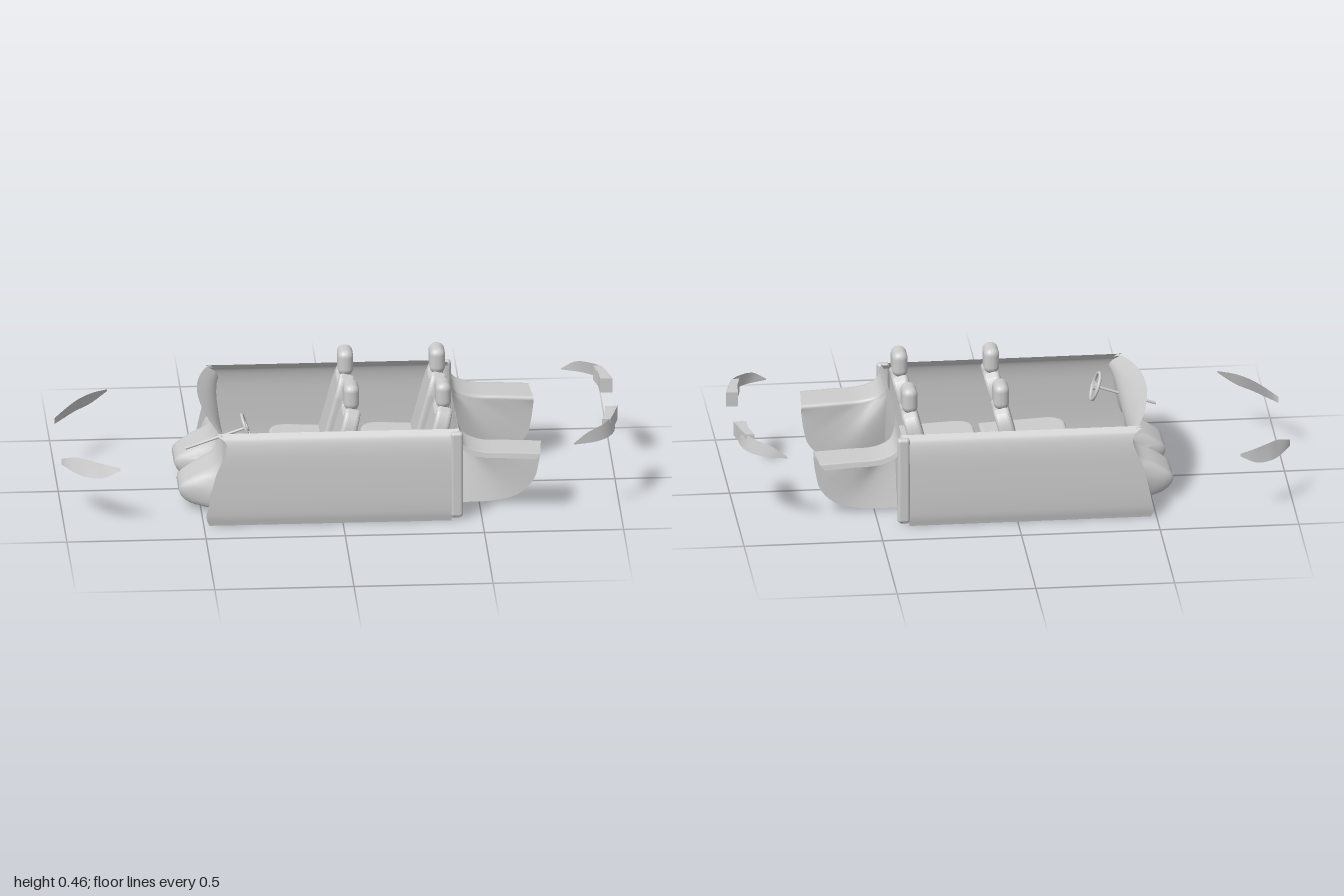
import * as THREE from 'three';
import { RoundedBoxGeometry } from 'three/addons/geometries/RoundedBoxGeometry.js';

const grey = new THREE.MeshStandardMaterial({ color: 0xcccccc, side: THREE.DoubleSide });
const V = (x, y, z = 0) => new THREE.Vector3(x, y, z);
const spline = (...p) => new THREE.CatmullRomCurve3(p.map(q => V(...q)), false, 'centripetal');
const smooth = (a, b, x) => THREE.MathUtils.smoothstep(x, a, b);

// Open smooth surface from a rule (u, v) -> [x, y, z]
function sheet(rule, nu, nv) {
  const pos = [], idx = [];
  for (let i = 0; i <= nu; i++) for (let j = 0; j <= nv; j++) {
    pos.push(...rule(i / nu, j / nv));
    if (i < nu && j < nv) {
      const a = i * (nv + 1) + j, b = a + nv + 1;
      idx.push(a, b, a + 1, b, b + 1, a + 1);
    }
  }
  const g = new THREE.BufferGeometry();
  g.setAttribute('position', new THREE.Float32BufferAttribute(pos, 3));
  g.setIndex(idx);
  g.computeVertexNormals();
  return g;
}

function add(parent, name, geo, x = 0, y = 0, z = 0) {
  const m = new THREE.Mesh(geo, grey);
  m.name = name;
  m.position.set(x, y, z);
  parent.add(m);
  return m;
}

// Cowl, firewall, footwells, floor and rear wall in one sweep across z
function tub() {
  const prof = spline([-.5, .365], [-.455, .325], [-.425, .28], [-.42, .24], [-.45, .17], [-.53, .125],
    [-.58, .08], [-.555, .035], [-.48, .012], [-.3, .008], [0, .008], [.3, .008], [.385, .015], [.415, .045],
    [.42, .12], [.42, .23], [.415, .335]);
  return sheet((u, v) => {
    const p = prof.getPointAt(v), z = (u * 2 - 1) * .355, a = Math.abs(z), w = (z / .355) ** 2;
    const foot = .3 + .7 * smooth(.0, .07, a) * (1 - smooth(.2, .26, a));
    if (p.x < -.42 && p.y < .24) p.x = -.42 + (p.x + .42) * foot;
    if (p.x < -.35 && p.y > .24) {
      const k = smooth(.24, .36, p.y);
      p.x += .065 * w * k;
      p.y -= .03 * w * k;
    }
    // centre tunnel fading towards the rear
    if (p.y < .1 && p.x < .3) p.y += .03 * (1 - smooth(0, .05, a)) * (1 - smooth(-.45, .25, p.x));
    return [p.x, p.y, z];
  }, 64, 90);
}

// Side panel with a curved front edge and a tucked-in top
function sidePanel(rear, offset) {
  const front = spline([-.48, 0], [-.49, .05], [-.465, .12], [-.43, .18], [-.415, .25], [-.43, .3], [-.45, .335]);
  const section = spline([0, 0, .372], [0, .04, .38], [0, .2, .379], [0, .28, .373], [0, .32, .362], [0, .335, .35]);
  return sheet((u, v) => {
    const f = front.getPoint(v), s = section.getPoint(v);
    return [f.x + (rear - f.x) * u, s.y, s.z - offset];
  }, 12, 24);
}

// Rear wheel housing: upright inner wall with a shelf folded outward
function wheelHousing() {
  const top = spline([.418, .335, .13], [.425, .3, .16], [.445, .272, .195], [.5, .252, .21], [.6, .246, .21], [.72, .24, .21]);
  const low = spline([.418, .008], [.55, .012], [.64, .035], [.695, .09], [.712, .15], [.72, .21]);
  return sheet((u, v) => {
    const t = top.getPoint(u), b = low.getPoint(u), c = v * 6;
    if (c <= 1) return [t.x - .025 * u ** 6 * (1 - c * .6), t.y - .02 * (1 - c), .352 - .004 * c];
    if (c <= 3) {
      const k = (c - 1) / 2;
      return [t.x - .01 * u ** 6 * (1 - k), t.y, .348 + (t.z + .012 - .348) * k];
    }
    if (c <= 4) {
      const a = (c - 3) * Math.PI / 2;
      return [t.x, t.y - .012 * (1 - Math.cos(a)), t.z + .012 * (1 - Math.sin(a))];
    }
    const k = (c - 4) / 2, y0 = t.y - .012;
    return [t.x + (b.x - t.x) * k, y0 + (b.y - y0) * k, t.z + (.215 - t.z) * k];
  }, 36, 36);
}

function seat(x, z) {
  const g = new THREE.Group();
  g.name = 'seat';
  const bevel = { bevelEnabled: true, bevelThickness: .014, bevelSize: .012, bevelSegments: 4, curveSegments: 10 };
  // cushion outline in plan, rounded at the front
  const plan = new THREE.Shape();
  plan.moveTo(.06, -.088);
  plan.lineTo(-.16, -.088);
  plan.quadraticCurveTo(-.222, -.088, -.225, -.03);
  plan.lineTo(-.225, .03);
  plan.quadraticCurveTo(-.222, .088, -.16, .088);
  plan.lineTo(.06, .088);
  const cushion = new THREE.ExtrudeGeometry(plan, { depth: .09, ...bevel }).rotateX(-Math.PI / 2).rotateZ(-.05);
  add(g, 'cushion', cushion, 0, .025, 0);
  // backrest outline with raised shoulders beside the headrest
  const back = new THREE.Shape();
  back.moveTo(-.085, 0);
  back.lineTo(-.085, .19);
  back.quadraticCurveTo(-.08, .235, -.057, .255);
  back.quadraticCurveTo(-.052, .23, -.045, .23);
  back.lineTo(.045, .23);
  back.quadraticCurveTo(.052, .23, .057, .255);
  back.quadraticCurveTo(.08, .235, .085, .19);
  back.lineTo(.085, 0);
  const rest = new THREE.ExtrudeGeometry(back, { depth: .03, ...bevel }).rotateY(Math.PI / 2).rotateZ(-.26);
  add(g, 'backrest', rest, -.037, .12, 0);
  add(g, 'headrest', new RoundedBoxGeometry(.056, .096, .1, 6, .026), .041, .415, 0);
  g.position.set(x, 0, z);
  return g;
}

function steering() {
  const g = new THREE.Group();
  g.name = 'steering';
  add(g, 'steeringRim', new THREE.TorusGeometry(.05, .006, 10, 40).rotateY(Math.PI / 2));
  add(g, 'steeringHub', new THREE.CylinderGeometry(.014, .014, .014, 20).rotateZ(Math.PI / 2));
  for (const a of [0, Math.PI / 2, Math.PI])
    add(g, 'spoke', new THREE.BoxGeometry(.006, .008, .05), 0, -.025 * Math.sin(a), .025 * Math.cos(a)).rotation.x = a;
  add(g, 'steeringColumn', new THREE.CylinderGeometry(.005, .005, .23, 12).rotateZ(Math.PI / 2), -.115, 0, 0);
  g.position.set(-.335, .292, .16);
  g.rotation.z = .33;
  return g;
}

// Lamp skins span a lower and an upper edge curve
function lens(low, high) {
  return sheet((u, v) => low.getPoint(u).lerp(high.getPoint(u), v).toArray(), 24, 6);
}
const headLens = () => lens(
  spline([-1, .182, .2], [-.96, .178, .27], [-.92, .18, .325], [-.86, .192, .37], [-.8, .228, .393]),
  spline([-1, .205, .2], [-.95, .227, .25], [-.91, .235, .3], [-.86, .238, .35], [-.8, .236, .39]));
const tailLens = () => lens(
  spline([.83, .28, .37], [.9, .278, .345], [.95, .277, .305], [.98, .278, .25], [.992, .28, .14]),
  spline([.83, .285, .37], [.88, .318, .35], [.935, .328, .305], [.968, .333, .25], [.992, .335, .14]));

function tailInner() {
  const s = new THREE.Shape([[.938, .262], [.968, .262], [.985, .2], [1, .135], [.955, .135], [.952, .2]]
    .map(p => new THREE.Vector2(...p)));
  return new THREE.ExtrudeGeometry(s, { depth: .054, bevelEnabled: false }).rotateX(Math.PI / 2).translate(0, .334, 0);
}

export function createModel() {
  const model = new THREE.Group();
  add(model, 'tub', tub());

  // Parts on one side, mirrored across z
  for (const s of [1, -1]) {
    const side = new THREE.Group();
    side.name = s > 0 ? 'frontSide' : 'backSide';
    add(side, 'door', sidePanel(.39, 0));
    add(side, 'doorLining', sidePanel(.42, .022));
    add(side, 'rearPillar', new RoundedBoxGeometry(.045, .325, .03, 4, .012), .41, .172, .357);
    add(side, 'wheelHousing', wheelHousing());
    add(side, 'headLamp', headLens());
    add(side, 'tailLamp', tailLens());
    add(side, 'innerTailLamp', tailInner());
    side.scale.z = s;
    model.add(side);
    for (const x of [0, .33]) model.add(seat(x, s * .171));
  }
  model.add(steering());
  return model;
}
